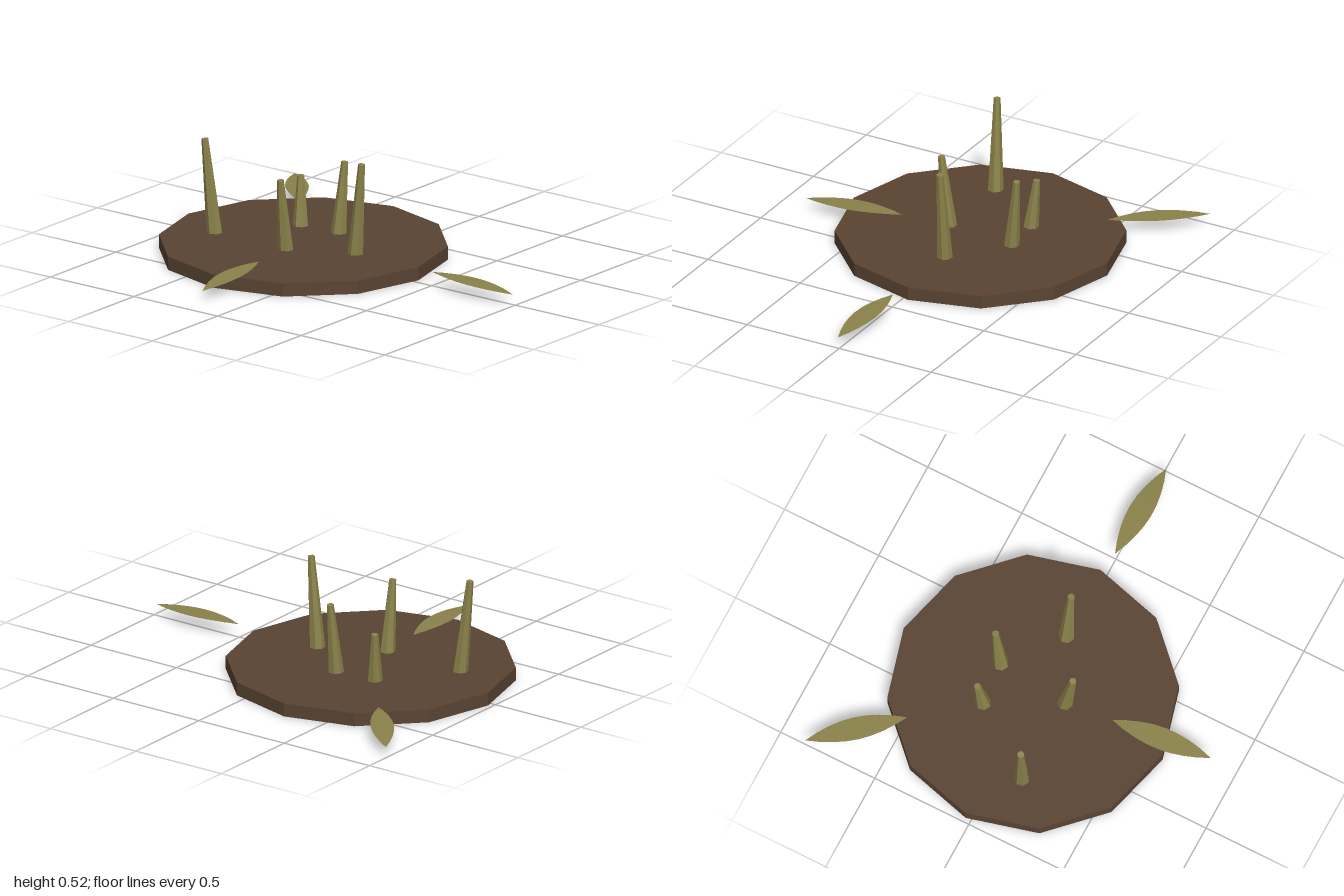
import * as THREE from 'three';

export function createModel() {
  const group = new THREE.Group();
  const soil = new THREE.MeshStandardMaterial({ color: 0x5a4433, flatShading: true });
  soil.name = 'soil brown';
  const olive = new THREE.MeshStandardMaterial({ color: 0x8a824a, flatShading: true, side: THREE.DoubleSide });
  olive.name = 'dry olive';

  // Low twelve-sided patch of ground
  const patch = new THREE.Mesh(new THREE.CylinderGeometry(0.688, 0.688, 0.065, 12), soil);
  patch.name = 'groundPatch';
  patch.position.set(-0.29, 0.0325, -0.028);
  group.add(patch);

  // Tapered, leaning stalks: foot x, z then tip x, y, z
  const up = new THREE.Vector3(0, 1, 0);
  const stalks = [
    [-0.7, 0.125, -0.745, 0.523, 0.143],
    [0.03, -0.018, 0.07, 0.513, -0.014],
    [-0.27, 0.13, -0.27, 0.415, 0.173],
    [-0.235, -0.228, -0.225, 0.41, -0.262],
    [-0.448, -0.21, -0.465, 0.305, -0.233],
  ];
  stalks.forEach(([fx, fz, tx, ty, tz], i) => {
    const foot = new THREE.Vector3(fx, 0.05, fz);
    const tip = new THREE.Vector3(tx, ty, tz);
    const axis = tip.clone().sub(foot);
    const stalk = new THREE.Mesh(new THREE.CylinderGeometry(0.017, 0.039, axis.length(), 7), olive);
    stalk.name = `stalk${i + 1}`;
    stalk.position.copy(foot).add(tip).multiplyScalar(0.5);
    stalk.quaternion.setFromUnitVectors(up, axis.normalize());
    group.add(stalk);
  });

  // Thin fallen leaves, pointed at both ends and arching down to the tip
  function makeLeaf(x0, z0, x1, z1) {
    const length = Math.hypot(x1 - x0, z1 - z0);
    const geo = new THREE.PlaneGeometry(length, 1, 8, 1).rotateX(-Math.PI / 2);
    const pos = geo.attributes.position;
    for (let i = 0; i < pos.count; i++) {
      const t = pos.getX(i) / length + 0.5;
      const halfWidth = 0.056 * Math.pow(Math.sin(Math.PI * t), 0.9) || 0;
      pos.setZ(i, Math.sign(pos.getZ(i)) * halfWidth);
      pos.setY(i, 0.067 + 0.016 * t - 0.03 * t * t);
    }
    geo.computeVertexNormals();
    const leaf = new THREE.Mesh(geo, olive);
    leaf.position.set((x0 + x1) / 2, 0, (z0 + z1) / 2);
    leaf.rotation.y = -Math.atan2(z1 - z0, x1 - x0);
    return leaf;
  }
  [
    [0.5, -0.005, 0.995, 0.01],
    [-0.245, 0.37, -0.195, 0.867],
    [-0.68, -0.495, -1.0, -0.87],
  ].forEach((ends, i) => {
    const leaf = makeLeaf(...ends);
    leaf.name = `fallenLeaf${i + 1}`;
    group.add(leaf);
  });

  return group;
}
